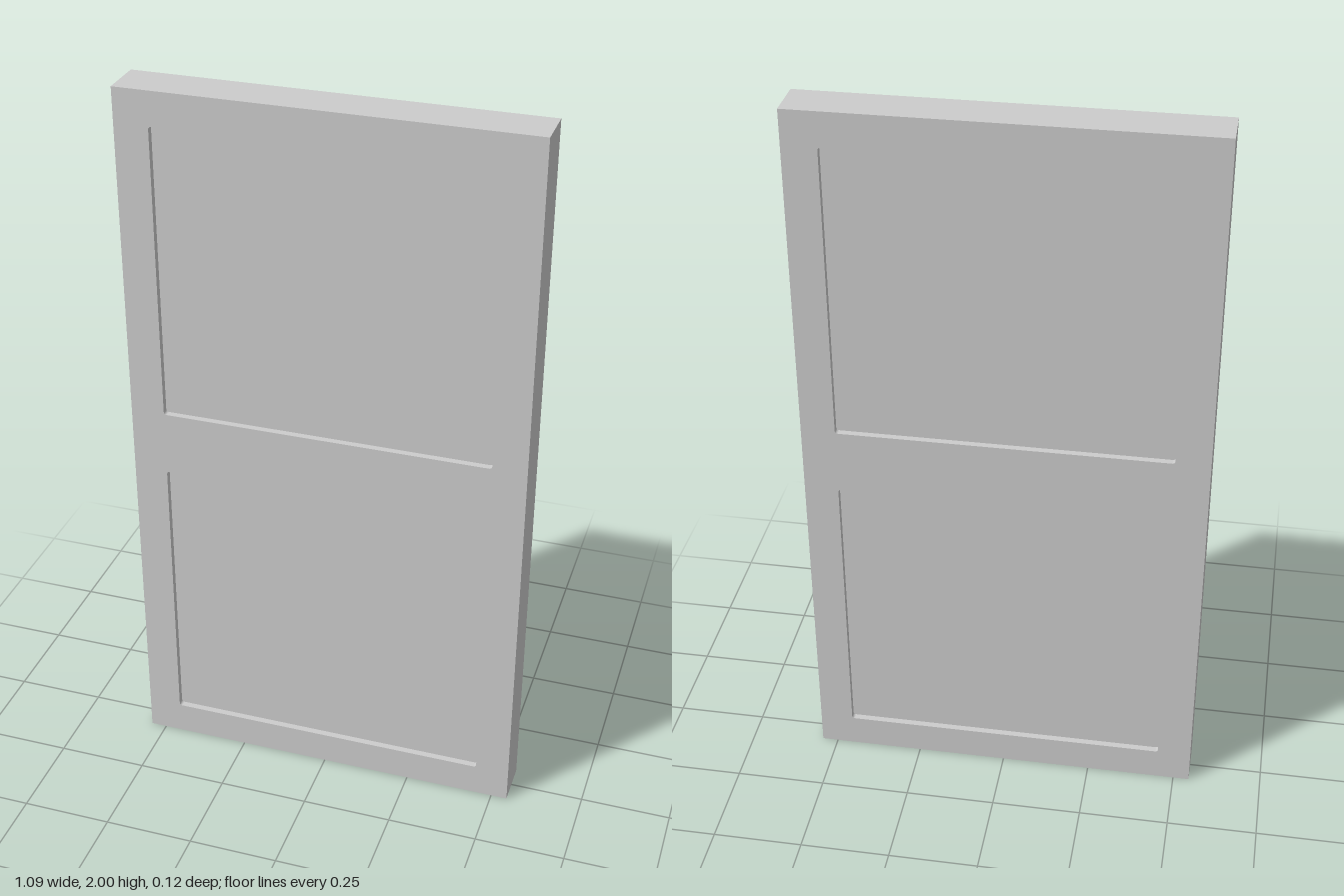
import * as THREE from 'three';

const WIDTH = 1.09, HEIGHT = 2, DEPTH = 0.125;
const OPEN_HALF = 0.452, CORNER = 0.008, RECESS = 0.018;
const OPENINGS = [
  { name: 'lowerPanel', y0: 0.093, y1: 0.91 },
  { name: 'upperPanel', y0: 1.09, y1: 1.907 },
];

// Rectangle with slightly rounded corners, drawn on a Shape or Path
function roundedRect(path, x0, y0, x1, y1, r) {
  path.moveTo(x0 + r, y0);
  path.lineTo(x1 - r, y0);
  path.absarc(x1 - r, y0 + r, r, -Math.PI / 2, 0);
  path.lineTo(x1, y1 - r);
  path.absarc(x1 - r, y1 - r, r, 0, Math.PI / 2);
  path.lineTo(x0 + r, y1);
  path.absarc(x0 + r, y1 - r, r, Math.PI / 2, Math.PI);
  path.lineTo(x0, y0 + r);
  path.absarc(x0 + r, y0 + r, r, Math.PI, Math.PI * 1.5);
  return path;
}

// Extrusion centred on z = 0
function slab(shape, depth) {
  return new THREE.ExtrudeGeometry(shape, { depth, bevelEnabled: false, curveSegments: 4 })
    .translate(0, 0, -depth / 2);
}

export function createModel() {
  const group = new THREE.Group();
  group.name = 'panelDoor';
  const material = new THREE.MeshStandardMaterial({ color: 0xcccccc });

  function add(name, geometry) {
    const mesh = new THREE.Mesh(geometry, material);
    mesh.name = name;
    group.add(mesh);
  }

  // Outer frame with its middle rail
  const frame = new THREE.Shape();
  frame.moveTo(-WIDTH / 2, 0);
  frame.lineTo(WIDTH / 2, 0);
  frame.lineTo(WIDTH / 2, HEIGHT);
  frame.lineTo(-WIDTH / 2, HEIGHT);
  frame.closePath();
  for (const { y0, y1 } of OPENINGS) {
    frame.holes.push(roundedRect(new THREE.Path(), -OPEN_HALF, y0, OPEN_HALF, y1, CORNER));
  }
  add('frame', slab(frame, DEPTH));

  // Panels set back from both faces
  for (const { name, y0, y1 } of OPENINGS) {
    const panel = roundedRect(new THREE.Shape(), -OPEN_HALF, y0, OPEN_HALF, y1, CORNER);
    add(name, slab(panel, DEPTH - 2 * RECESS));
  }

  return group;
}
